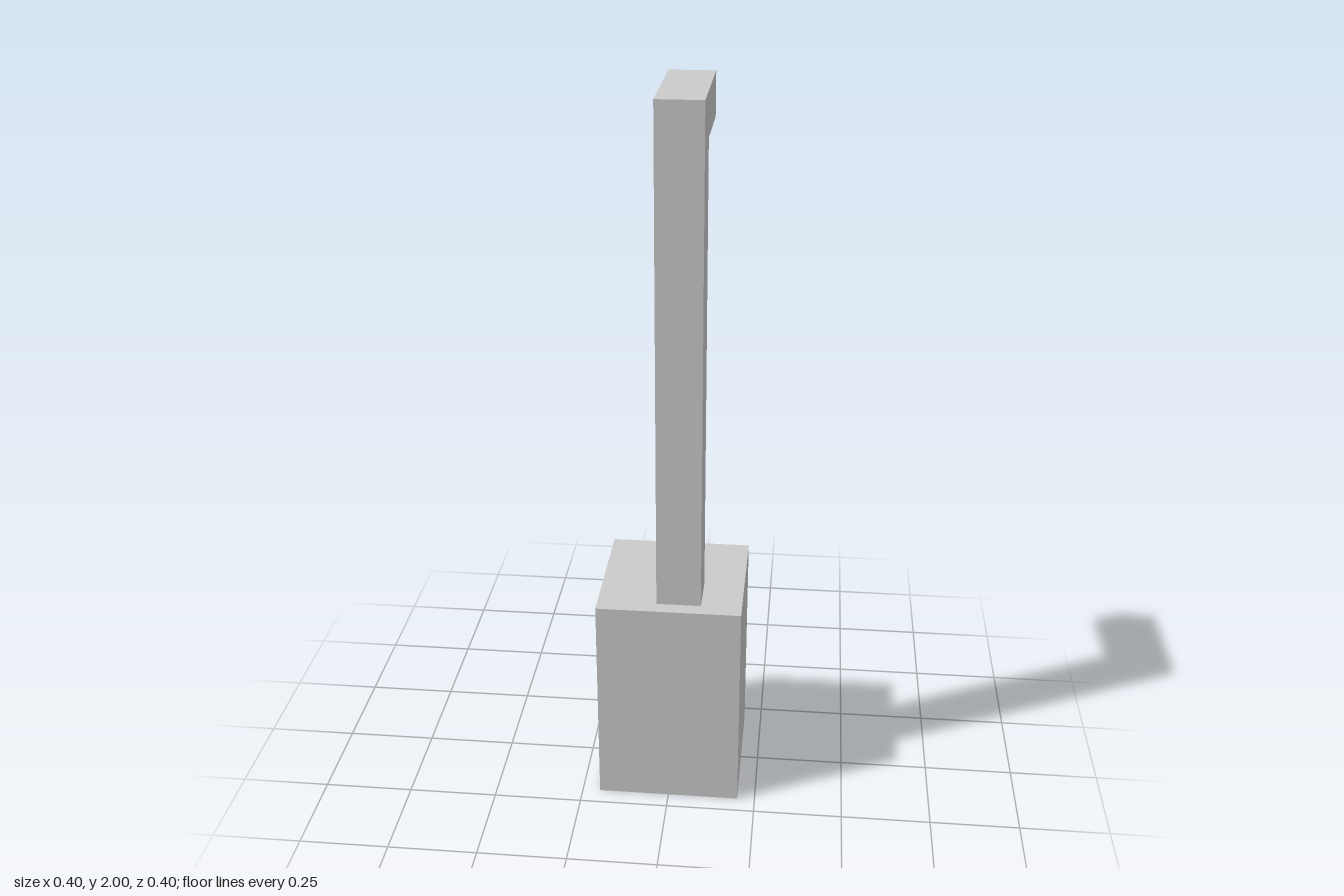
import * as THREE from 'three';

// Thin shell: joins successive four-cornered rings, optionally closing the last one.
function shell(name, rings, capEnd) {
  const pos = [];
  const quad = (a, b, c, d) => pos.push(...a, ...b, ...c, ...a, ...c, ...d);
  for (let r = 0; r < rings.length - 1; r++) {
    for (let i = 0; i < 4; i++) {
      const j = (i + 1) % 4;
      quad(rings[r][i], rings[r][j], rings[r + 1][j], rings[r + 1][i]);
    }
  }
  if (capEnd) quad(...rings[rings.length - 1]);
  const geo = new THREE.BufferGeometry();
  geo.setAttribute('position', new THREE.Float32BufferAttribute(pos, 3));
  geo.computeVertexNormals();
  const mat = new THREE.MeshStandardMaterial({
    color: 0xcccccc, flatShading: true, side: THREE.DoubleSide,
  });
  const mesh = new THREE.Mesh(geo, mat);
  mesh.name = name;
  return mesh;
}

export function createModel() {
  const group = new THREE.Group();
  group.name = 'boxWithBentPipe';

  // Base box, open at the back
  const w = 0.2, d = 0.198, h = 0.618;
  const boxRing = z => [[-w, 0, z], [w, 0, z], [w, h, z], [-w, h, z]];
  group.add(shell('openBox', [boxRing(-d), boxRing(d)], true));

  // Square pipe: rises from inside the box, turns back at a mitred elbow, open at both ends
  const x0 = -0.036, x1 = 0.087;
  const pipeRing = (yFront, zFront, yBack, zBack) => [
    [x0, yFront, zFront], [x1, yFront, zFront], [x1, yBack, zBack], [x0, yBack, zBack],
  ];
  group.add(shell('bentPipe', [
    pipeRing(0.46, 0.157, 0.46, 0.035),
    pipeRing(2, 0.157, 1.882, 0.035),
    pipeRing(2, -d, 1.882, -d),
  ], false));

  return group;
}
